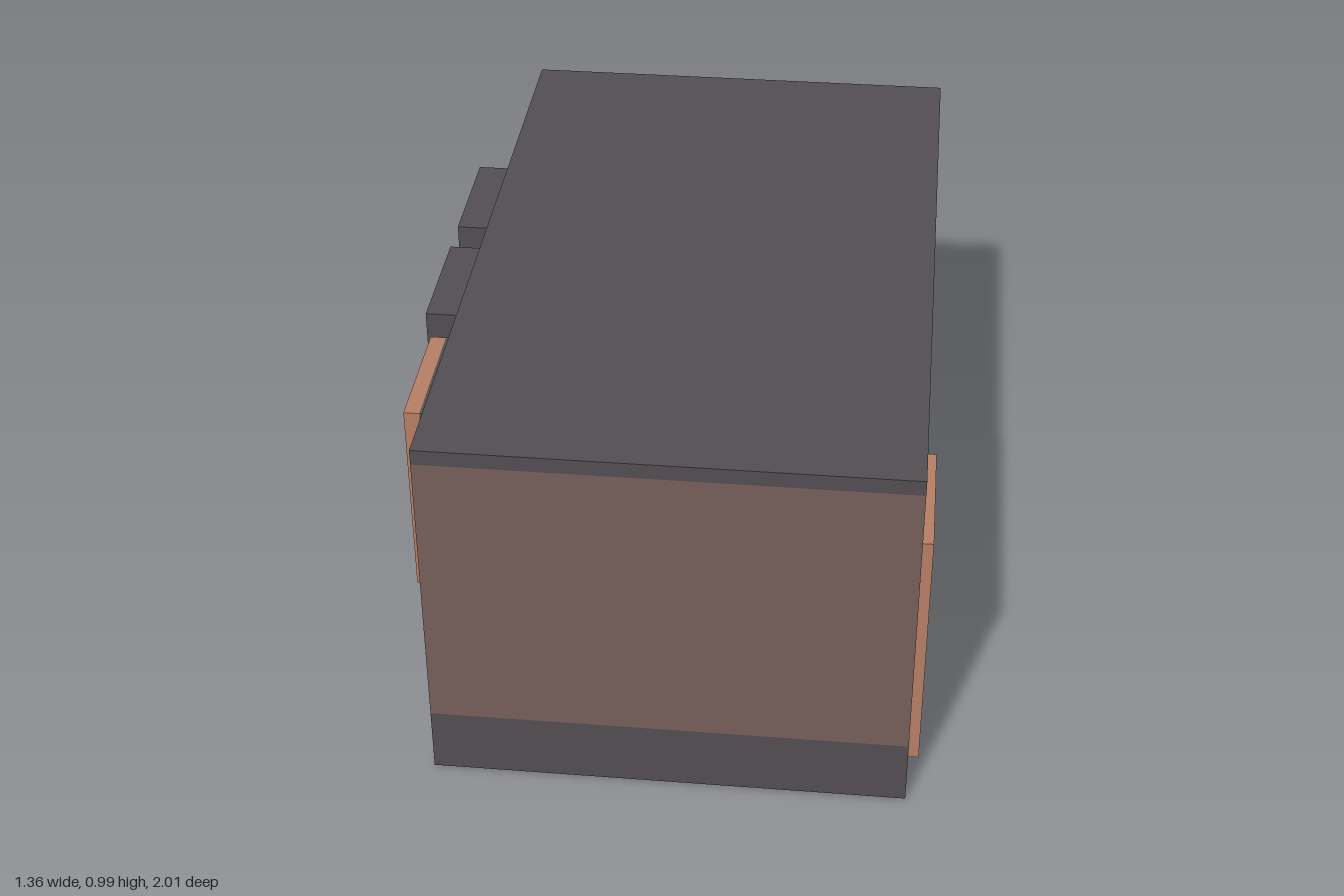
import * as THREE from 'three';

const mat = (color) => new THREE.MeshStandardMaterial({ color, side: THREE.DoubleSide });
const GREY = mat(0x524d50), BROWN = mat(0x755f5a), WOOD = mat(0xb57d64);
const LEAF = mat(0x8a6151), FLOOR = mat(0x4a3935), BRASS = mat(0x5c4526);
const X0 = -0.555, X1 = 0.645, Y0 = 0.005, BASE = 0.18, TRIM = 0.95, TOP = 0.99;

function mesh(name, geometry, material, parent) {
  const m = new THREE.Mesh(geometry, material);
  m.name = name;
  parent.add(m);
  return m;
}

const rect = (a, b, c, d) => [[a, c], [b, c], [b, d], [a, d]];
const toShape = (pts) => new THREE.Shape(pts.map(([u, v]) => new THREE.Vector2(u, v)));

// Flat wall panel; side panels are drawn in (z, y) and stand at a given x
function panel(name, pts, material, parent, { x, z, holes = [] }) {
  const shape = toShape(pts);
  for (const h of holes) shape.holes.push(toShape(h));
  const g = new THREE.ShapeGeometry(shape);
  if (x !== undefined) {
    g.rotateY(x < 0 ? -Math.PI / 2 : Math.PI / 2);
    if (x > 0) g.scale(1, 1, -1), g.index.array.reverse();
    g.translate(x, 0, 0);
    g.computeVertexNormals();
  } else g.translate(0, 0, z);
  return mesh(name, g, material, parent);
}

// Strips joining rectangular rings [x, z0, z1, y0, y1]; sides: 0 bottom, 1 +z, 2 top, 3 -z
function loft(rings, sides = [0, 1, 2, 3]) {
  const pos = [];
  const corners = ([x, a, b, c, d]) => rect(a, b, c, d).map(([z, y]) => [x, y, z]);
  for (let i = 0; i < rings.length - 1; i++) {
    const p = corners(rings[i]), q = corners(rings[i + 1]);
    for (const s of sides) {
      const t = (s + 1) % 4;
      pos.push(...p[s], ...q[s], ...q[t], ...p[s], ...q[t], ...p[t]);
    }
  }
  const g = new THREE.BufferGeometry();
  g.setAttribute('position', new THREE.Float32BufferAttribute(pos, 3));
  g.computeVertexNormals();
  return g;
}

// Rectangular frame in the (z, y) plane, running from x outwards to -x
function frame(z0, z1, y0, y1, width, x, depth) {
  const s = toShape(rect(z0, z1, y0, y1));
  s.holes.push(toShape(rect(z0 + width, z1 - width, y0 + width, y1 - width)));
  const g = new THREE.ExtrudeGeometry(s, { depth, bevelEnabled: false });
  return g.rotateY(-Math.PI / 2).translate(x, 0, 0);
}

function box(name, size, at, material, parent) {
  const m = mesh(name, new THREE.BoxGeometry(...size), material, parent);
  m.position.set(...at);
  return m;
}

const WIN_Y0 = 0.33, WIN_Y1 = 0.865;

// Shuttered window: flared surround, timber frame, mullion and slats
function makeWindow(z0, hooded, openSide) {
  const g = new THREE.Group();
  g.name = 'window';
  const z1 = z0 + 0.35, zc = (z0 + z1) / 2;
  const ring = (x, e = 0) => [x, z0 - e, z1 + e, WIN_Y0 - e, WIN_Y1 + e];
  mesh('windowSurround', loft([ring(X0, 0.02), ring(-0.58), ring(-0.605)]), GREY, g);
  if (hooded) {
    mesh('windowHood', loft([ring(-0.605), ring(-0.68)], openSide ? [0, 1, 2] : [0, 1, 2, 3]), GREY, g);
  }
  const e = hooded ? 0.003 : 0;
  mesh('windowFrame', frame(z0 + e, z1 - e, WIN_Y0 + e, WIN_Y1 - e, 0.035, -0.605, 0.04), WOOD, g);
  mesh('shutterFrame', frame(z0 + 0.035, z1 - 0.035, WIN_Y0 + 0.035, WIN_Y1 - 0.035, 0.022, -0.6, 0.025), WOOD, g);
  box('mullion', [0.025, WIN_Y1 - WIN_Y0 - 0.1, 0.03], [-0.613, (WIN_Y0 + WIN_Y1) / 2, zc], WOOD, g);
  const n = 10, low = WIN_Y0 + 0.057, step = (WIN_Y1 - WIN_Y0 - 0.114) / n;
  for (const side of [-1, 1]) {
    for (let i = 0; i < n; i++) {
      const slat = box('slat', [0.03, 0.007, 0.105], [-0.61, low + (i + 0.5) * step, zc + side * 0.0665], LEAF, g);
      slat.rotation.z = 0.6;
    }
  }
  return g;
}

export function createModel() {
  const root = new THREE.Group();
  root.name = 'room';

  // Roof and floor
  for (const [name, y, m, a] of [['roof', TOP, GREY, -1], ['floor', Y0, FLOOR, 1]]) {
    const g = new THREE.PlaneGeometry(X1 - X0, 2).rotateX(a * Math.PI / 2);
    mesh(name, g, m, root).position.set((X0 + X1) / 2, y, 0);
  }

  // End walls with base and top bands
  for (const z of [-1, 1]) {
    panel('endWall', rect(X0, X1, BASE, TRIM), BROWN, root, { z });
    panel('endBase', rect(X0, X1, Y0, BASE), GREY, root, { z });
    panel('endTrim', rect(X0, X1, TRIM, TOP), GREY, root, { z });
  }

  // Window wall
  const starts = [-0.6, -0.14, 0.32];
  const holes = starts.map((z) => rect(z - 0.02, z + 0.37, WIN_Y0 - 0.02, WIN_Y1 + 0.02));
  panel('windowWall', rect(-1, 1, BASE, TRIM), BROWN, root, { x: X0, holes });
  panel('windowWallBase', rect(-1, 1, Y0, BASE), GREY, root, { x: X0 });
  panel('windowWallTrim', rect(-1, 1, TRIM, TOP), GREY, root, { x: X0 });
  starts.forEach((z, i) => root.add(makeWindow(z, i < 2, i === 1)));

  // Door wall, its base band rising around the door
  const a = 0.435, b = 0.86, h = 0.71;
  panel('doorWall', [[-1, BASE], [a, BASE], [a, h], [b, h], [b, BASE], [1, BASE], [1, TRIM], [-1, TRIM]], BROWN, root, { x: X1 });
  panel('doorWallBase', [[-1, Y0], [1, Y0], [1, BASE], [b, BASE], [b, h], [a, h], [a, BASE], [-1, BASE]], GREY, root, { x: X1 });
  panel('doorWallTrim', rect(-1, 1, TRIM, TOP), GREY, root, { x: X1 });

  // Door with splayed frame
  const door = new THREE.Group();
  door.name = 'door';
  root.add(door);
  mesh('doorFrame', loft([
    [X1, 0.465, 0.84, 0, 0.69], [0.675, 0.465, 0.84, 0, 0.69],
    [0.668, 0.505, 0.795, 0, 0.65], [X1, 0.505, 0.795, 0, 0.65],
  ]), WOOD, door);
  panel('doorLeaf', rect(0.505, 0.795, 0, 0.65), LEAF, door, { x: 0.65 });

  // Rail on the back wall
  box('rail', [0.18, 0.018, 0.012], [0.54, 0.485, -1], BROWN, root);

  // Small grille under the floor
  for (let i = 0; i < 3; i++) {
    box('floorGrille', [0.045, 0.006, 0.12], [0.425 + i * 0.06, 0.003, -0.49], BRASS, root);
  }
  return root;
}
